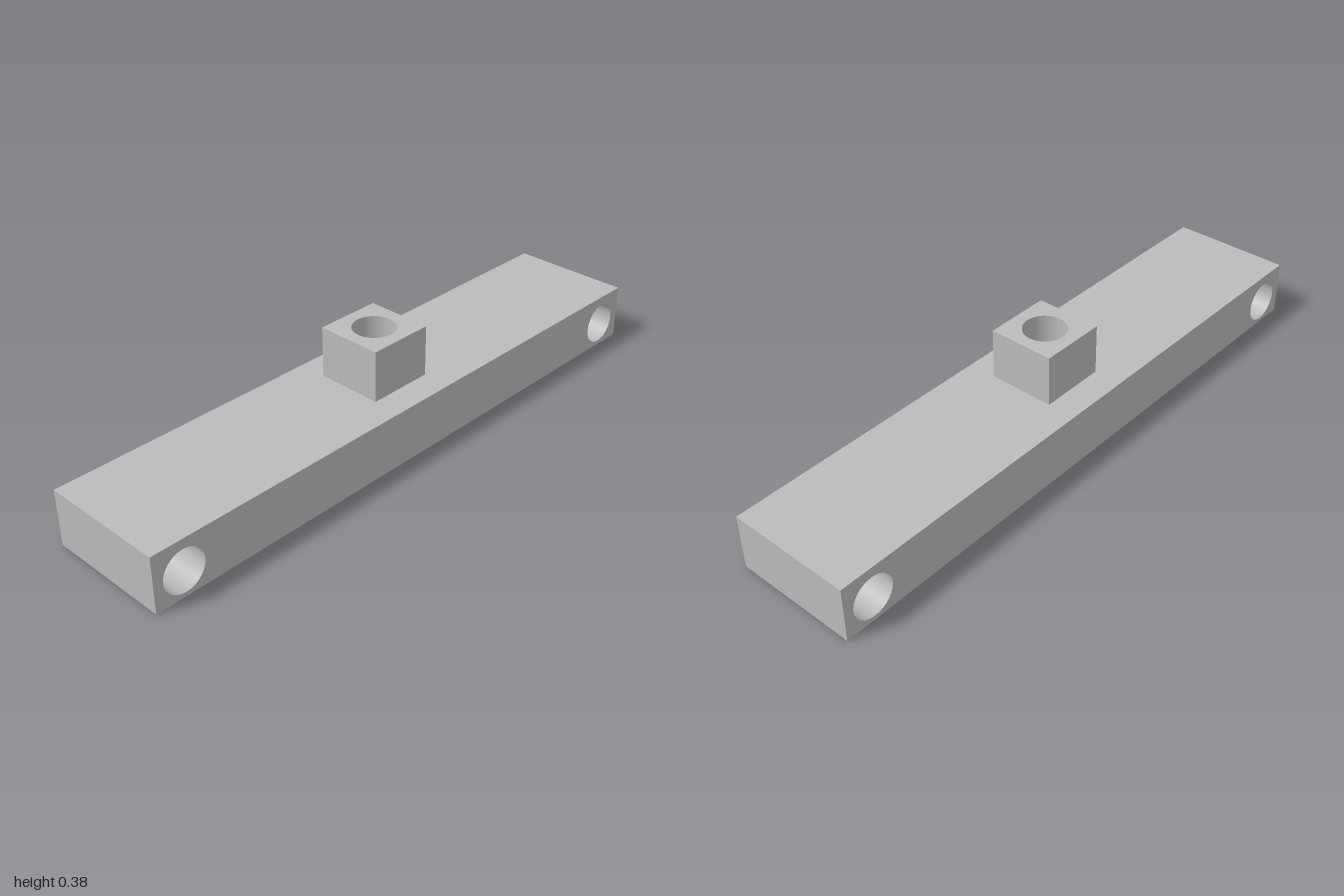
import * as THREE from 'three';
import { toCreasedNormals } from 'three/addons/utils/BufferGeometryUtils.js';

const HOLE_RADIUS = 0.075;

// Rectangle with round holes, extruded along +z; crisp edges, smooth bores
function drilledBlock(x, y, width, height, depth, holes) {
  const shape = new THREE.Shape([
    new THREE.Vector2(x, y),
    new THREE.Vector2(x + width, y),
    new THREE.Vector2(x + width, y + height),
    new THREE.Vector2(x, y + height),
  ]);
  for (const [hx, hy] of holes) {
    shape.holes.push(new THREE.Path().absarc(hx, hy, HOLE_RADIUS, 0, Math.PI * 2, true));
  }
  const geometry = new THREE.ExtrudeGeometry(shape, { depth, bevelEnabled: false, curveSegments: 32 });
  return toCreasedNormals(geometry, 0.6);
}

export function createModel() {
  const group = new THREE.Group();
  group.name = 'mountingBar';
  const grey = new THREE.MeshStandardMaterial({ color: 0xbbbbbb });
  grey.name = 'plain grey';

  // Long bar with a cross hole near each end
  const length = 2.217, width = 0.447, height = 0.2;
  const barGeometry = drilledBlock(-length / 2, 0, length, height, width, [[-1, 0.09], [1, 0.09]]);
  barGeometry.translate(0, 0, -width / 2);
  const bar = new THREE.Mesh(barGeometry, grey);
  bar.name = 'bar';

  // Small square socket on top with an upright hole
  const side = 0.24, rise = 0.183;
  const socketGeometry = drilledBlock(-side / 2, -side / 2, side, side, rise, [[0, 0]]);
  socketGeometry.rotateX(-Math.PI / 2);
  const socket = new THREE.Mesh(socketGeometry, grey);
  socket.name = 'socket';
  socket.position.y = height;

  // The whole piece lies diagonally
  group.add(bar, socket);
  group.rotation.y = THREE.MathUtils.degToRad(39.3);
  return group;
}
